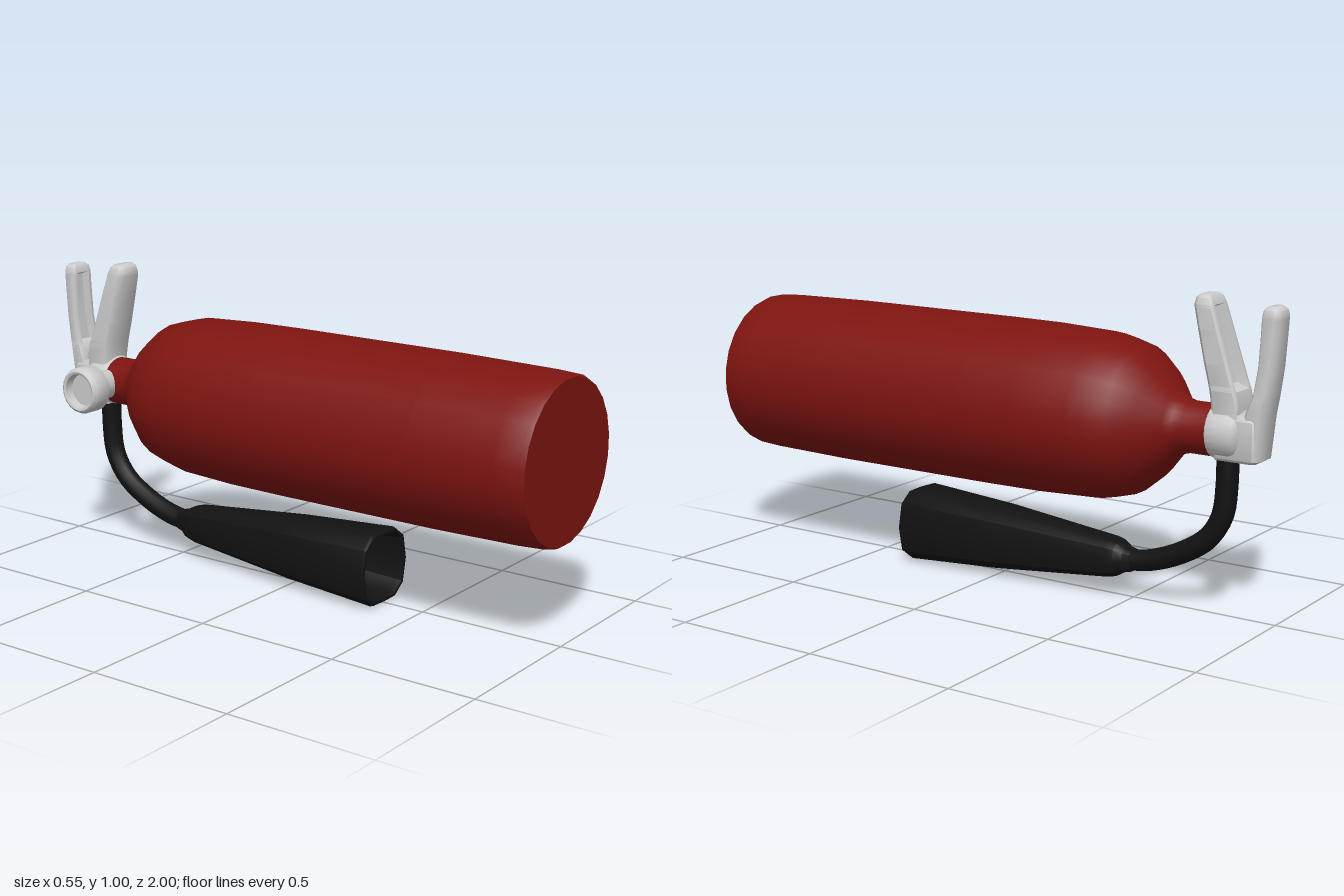
import * as THREE from 'three';
import { toCreasedNormals } from 'three/addons/utils/BufferGeometryUtils.js';

const paint = (color) => new THREE.MeshStandardMaterial({ color });
const grey = paint(0xcccccc), red = paint(0x7d1410), black = paint(0x121212);
const AXIS_Y = 0.587; // height of the tank's axis

function part(name, geometry, material, crease = 0.8) {
  const mesh = new THREE.Mesh(toCreasedNormals(geometry, crease), material);
  mesh.name = name;
  return mesh;
}

const turned = (profile, segments) =>
  new THREE.LatheGeometry(profile.map(([r, y]) => new THREE.Vector2(r, y)), segments);

// Skin over equal-sized rings of [x, y, z], counter-clockwise seen from the end, with both ends closed
function loft(rings) {
  const n = rings[0].length, index = [];
  for (let i = 0; i < rings.length - 1; i++) {
    for (let j = 0; j < n; j++) {
      const a = i * n + j, b = i * n + (j + 1) % n;
      index.push(a, b, b + n, a, b + n, a + n);
    }
  }
  const last = (rings.length - 1) * n;
  for (let j = 1; j < n - 1; j++) index.push(0, j + 1, j, last, last + j, last + j + 1);
  const g = new THREE.BufferGeometry();
  g.setAttribute('position', new THREE.Float32BufferAttribute(rings.flat(2), 3));
  g.setIndex(index);
  return g;
}

// Channel-shaped lever from sections [y, back, open, half width, recess depth]
function lever(name, sections) {
  const k = 0.014, m = 0.006, t = 0.016;
  const rings = sections.map(([y, b, o, w, d]) => {
    const f = o + d, v = w - t;
    return [
      [b - k, -w], [b, k - w], [b, w - k], [b - k, w],
      [o + m, w], [o, w - m], [o, v], [f, v - 0.004],
      [f, 0.004 - v], [o, -v], [o, m - w], [o + m, -w],
    ].map(([z, x]) => [x, y, z]);
  });
  return part(name, loft(rings), grey);
}

export function createModel() {
  const model = new THREE.Group();
  model.name = 'fireExtinguisher';

  // Tank lying along z, with shoulder and neck
  const tank = turned([
    [0, -1], [0.26, -1], [0.267, -0.985], [0.272, -0.9], [0.277, -0.6], [0.277, 0], [0.275, 0.2],
    [0.266, 0.4], [0.255, 0.45], [0.236, 0.52], [0.18, 0.59], [0.11, 0.65], [0.09, 0.67],
    [0.082, 0.7], [0.082, 0.8], [0, 0.8],
  ], 24);
  tank.rotateY(Math.PI / 24).rotateX(-Math.PI / 2);
  const tankMesh = part('tank', tank, red);
  tankMesh.position.y = AXIS_Y;
  model.add(tankMesh);

  // Valve collar and the block behind it
  const collar = turned([
    [0, 0.78], [0.08, 0.78], [0.086, 0.786], [0.086, 0.85], [0.08, 0.87], [0.06, 0.885], [0, 0.885],
  ], 24);
  collar.rotateX(-Math.PI / 2);
  const collarMesh = part('valveCollar', collar, grey);
  collarMesh.position.y = AXIS_Y + 0.002;
  model.add(collarMesh);
  const block = lever('valveBlock', [
    [0.506, 0.935, 0.8, 0.048, 0], [0.515, 0.945, 0.8, 0.055, 0],
    [0.635, 0.945, 0.8, 0.058, 0], [0.652, 0.93, 0.8, 0.05, 0],
  ]);
  block.rotation.y = Math.PI;
  model.add(block);

  // Two levers with their hollow sides facing each other
  model.add(lever('frontLever', [
    [0.6, -0.79, -0.875, 0.06, 0], [0.68, -0.785, -0.878, 0.06, 0],
    [0.72, -0.778, -0.868, 0.06, 0], [0.735, -0.774, -0.862, 0.059, 0.035],
    [0.8, -0.757, -0.84, 0.058, 0.035], [0.9, -0.733, -0.807, 0.055, 0.03],
    [0.965, -0.718, -0.786, 0.052, 0.026], [0.975, -0.717, -0.783, 0.051, 0],
    [0.995, -0.72, -0.775, 0.046, 0], [1.005, -0.731, -0.765, 0.037, 0],
  ]));
  const rear = lever('rearLever', [
    [0.515, 0.95, 0.89, 0.05, 0], [0.65, 0.962, 0.9, 0.055, 0],
    [0.7, 0.972, 0.918, 0.052, 0], [0.715, 0.975, 0.924, 0.051, 0.026],
    [0.8, 0.988, 0.937, 0.048, 0.028], [0.9, 0.996, 0.942, 0.046, 0.028],
    [0.945, 0.999, 0.943, 0.045, 0.028], [0.955, 1, 0.944, 0.045, 0],
    [0.975, 0.997, 0.947, 0.041, 0], [0.985, 0.986, 0.957, 0.032, 0],
  ]);
  rear.rotation.y = Math.PI;
  model.add(rear);

  // Pressure gauge on the right side, with a recessed dial
  const gauge = turned([
    [0, 0.03], [0.05, 0.03], [0.05, 0.115], [0.055, 0.13], [0.073, 0.135], [0.08, 0.143],
    [0.08, 0.2], [0.076, 0.21], [0.068, 0.215], [0.06, 0.212], [0.055, 0.185], [0, 0.185],
  ], 20);
  gauge.rotateZ(Math.PI / 2);
  const gaugeMesh = part('pressureGauge', gauge, grey);
  gaugeMesh.position.set(0, AXIS_Y, -0.78);
  model.add(gaugeMesh);

  // Hose from the valve down to the nozzle
  const path = new THREE.CatmullRomCurve3([
    [0.54, -0.823], [0.42, -0.823], [0.32, -0.81], [0.24, -0.76],
    [0.18, -0.67], [0.14, -0.57], [0.127, -0.5], [0.127, -0.45],
  ].map(([y, z]) => new THREE.Vector3(0, y, z)));
  model.add(part('hose', new THREE.TubeGeometry(path, 24, 0.035, 12), black));

  // Flared, squarish twelve-sided nozzle with an open mouth
  const quarter = [[1, 0], [0.87, 0.65], [0.5, 0.93], [0, 0.95]];
  const upper = [...quarter, ...quarter.slice(0, 3).reverse().map(([x, y]) => [-x, y])];
  const outline = [...upper, ...upper.slice(1, 6).reverse().map(([x, y]) => [x, -y])];
  const nozzle = loft([
    [-0.5, 0.036], [-0.475, 0.042], [-0.45, 0.058], [-0.42, 0.065], [0, 0.106],
    [0.34, 0.128], [0.352, 0.124], [0.352, 0.115], [0.335, 0.112], [-0.3, 0.035],
  ].map(([z, r]) => outline.map(([x, y]) => [x * r, 0.126 + y * r, z])));
  model.add(part('nozzle', nozzle, black, 0.65));

  return model;
}
